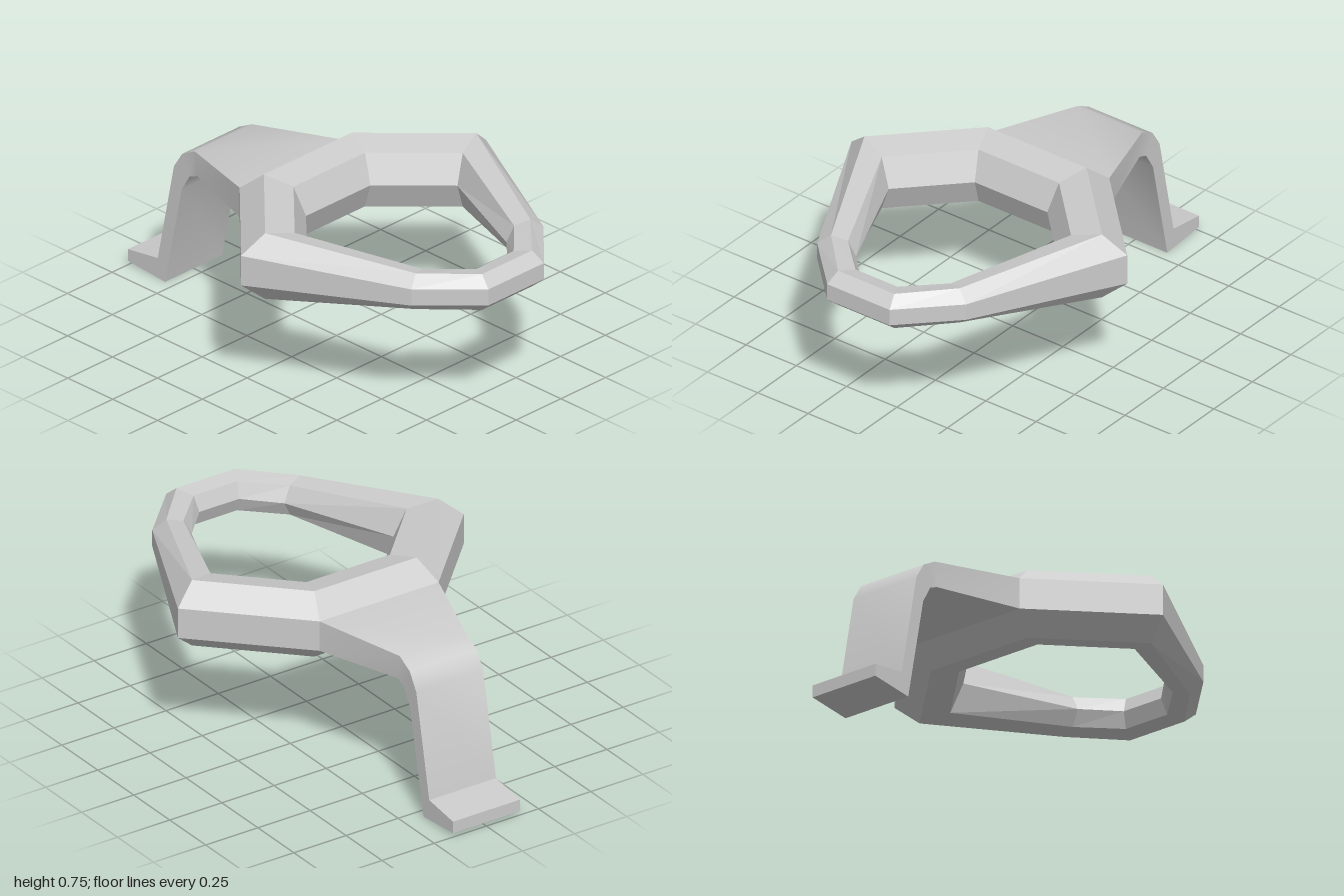
import * as THREE from 'three';
import { toCreasedNormals } from 'three/addons/utils/BufferGeometryUtils.js';

const MID = 0.61; // height of the ring's middle plane

// Joins matching loops of points into a skin; skip(i, j) leaves a quad out.
function loft(loops, { closed = false, cap = false, skip = () => false } = {}) {
  const pos = [];
  const quad = (a, b, c, d) => pos.push(...a, ...b, ...c, ...a, ...c, ...d);
  const n = loops.length, m = loops[0].length;
  for (let i = 0; i < (closed ? n : n - 1); i++) {
    const p = loops[i], q = loops[(i + 1) % n];
    for (let j = 0; j < m; j++) {
      const k = (j + 1) % m;
      if (!skip(i, j)) quad(p[j], q[j], q[k], p[k]);
    }
  }
  if (cap) {
    const [a, b, c, d] = loops[n - 1];
    quad(d, c, b, a);
  }
  const g = new THREE.BufferGeometry();
  g.setAttribute('position', new THREE.Float32BufferAttribute(pos, 3));
  g.computeVertexNormals();
  return g;
}

// Ring corners on the +z side: outer wall, rim, inner lip, inner ridge as [x, z],
// then half heights of the wall, rim and lip.
const corners = [
  { xz: [[-0.255, 0.285], [-0.16, 0.245], [-0.04, 0.2], [0.01, 0.18]], h: [0.066, 0.147, 0.12] },
  { xz: [[0.15, 0.685], [0.19, 0.59], [0.235, 0.47], [0.255, 0.42]], h: [0.066, 0.147, 0.12] },
  { xz: [[0.785, 0.37], [0.76, 0.32], [0.735, 0.255], [0.725, 0.222]], h: [0.036, 0.08, 0.065] },
  { xz: [[1, 0.155], [0.95, 0.14], [0.882, 0.105], [0.857, 0.095]], h: [0.036, 0.08, 0.065] },
];

function section({ xz, h }, side) {
  const at = (k, y) => [xz[k][0], MID + y, xz[k][1] * side];
  return [at(0, h[0]), at(1, h[1]), at(2, h[2]), at(3, 0),
    at(2, -h[2]), at(1, -h[1]), at(0, -h[0])];
}

// Arm stations from ring to foot: top [x, y], bottom [x, y], half width.
const armStations = [
  [[-0.255, 0.676], [-0.255, 0.544], 0.285],
  [[-0.63, 0.65], [-0.615, 0.544], 0.16],
  [[-0.7, 0.612], [-0.657, 0.528], 0.16],
  [[-0.745, 0.54], [-0.702, 0.452], 0.16],
  [[-0.835, 0.095], [-0.795, 0.003], 0.16],
  [[-1, 0.072], [-1, 0.02], 0.16],
];

export function createModel() {
  const group = new THREE.Group();
  group.name = 'ringHook';
  const add = (name, geometry, flatShading) => {
    const mesh = new THREE.Mesh(geometry,
      new THREE.MeshStandardMaterial({ color: 0xcccccc, flatShading }));
    mesh.name = name;
    group.add(mesh);
  };

  // Faceted ring, open where the arm joins it
  const loops = [
    ...corners.map((c) => section(c, 1)),
    ...[...corners].reverse().map((c) => section(c, -1)),
  ];
  add('ring', loft(loops, { closed: true, skip: (i, j) => i === 7 && j === 6 }), true);

  // Bent arm with its foot, rounded over the bend
  const armLoops = armStations.map(([t, b, w]) =>
    [[...t, w], [...b, w], [...b, -w], [...t, -w]]);
  add('armAndFoot', toCreasedNormals(loft(armLoops, { cap: true }), 0.75), false);

  return group;
}
